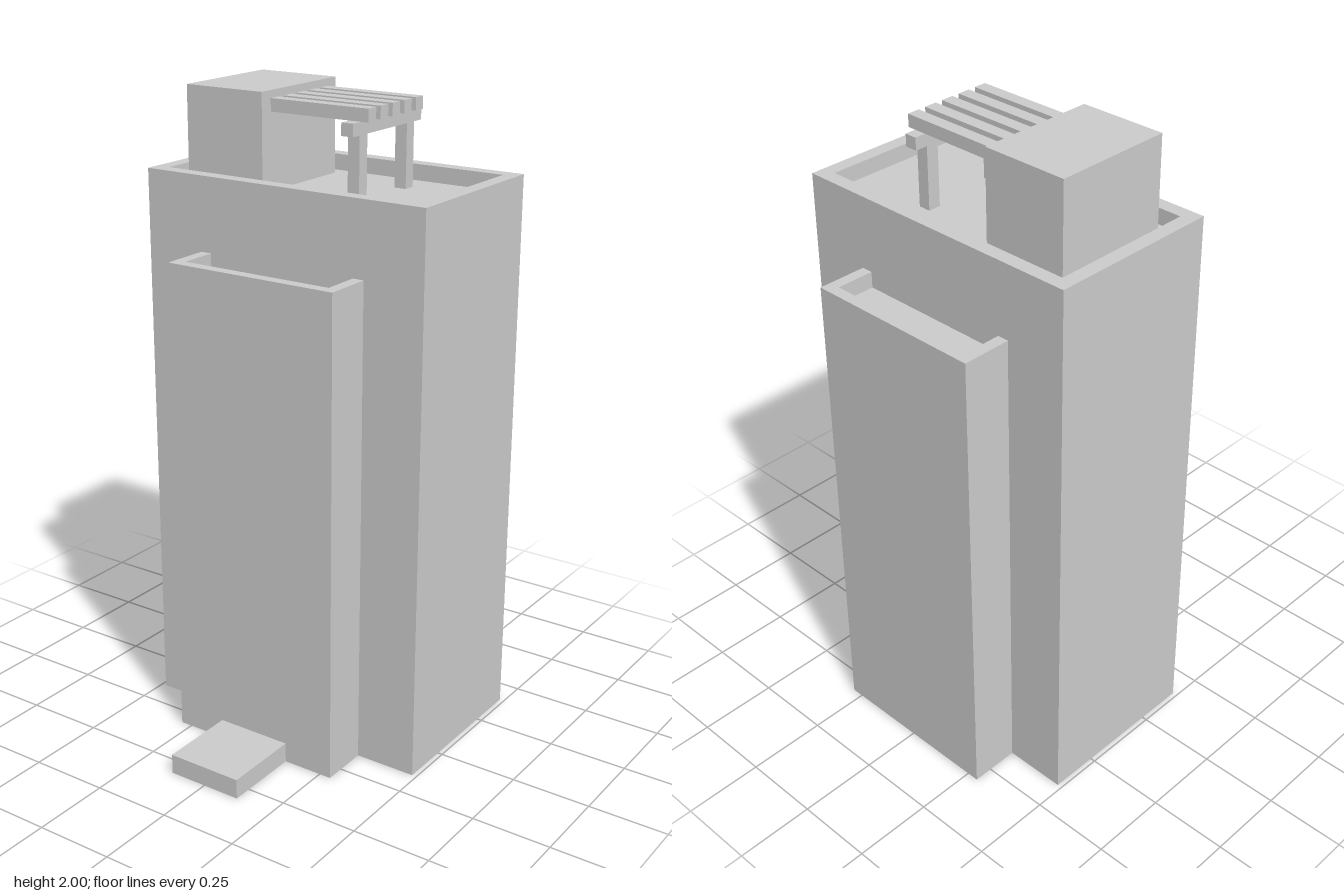
import * as THREE from 'three';

const material = new THREE.MeshStandardMaterial({ color: 0xcccccc, flatShading: true, side: THREE.DoubleSide });

// Lofts rectangular rings [x0, x1, z0, z1, y] and caps the last one; the start stays open
function shell(name, rings) {
  const pos = [];
  const corners = ([x0, x1, z0, z1, y]) => [[x0, y, z1], [x1, y, z1], [x1, y, z0], [x0, y, z0]];
  const quad = (a, b, c, d) => pos.push(...a, ...b, ...c, ...a, ...c, ...d);
  for (let r = 0; r < rings.length - 1; r++) {
    const lo = corners(rings[r]);
    const hi = corners(rings[r + 1]);
    for (let i = 0; i < 4; i++) {
      const j = (i + 1) % 4;
      quad(lo[i], lo[j], hi[j], hi[i]);
    }
  }
  quad(...corners(rings[rings.length - 1]));
  const geometry = new THREE.BufferGeometry();
  geometry.setAttribute('position', new THREE.Float32BufferAttribute(pos, 3));
  geometry.computeVertexNormals();
  const mesh = new THREE.Mesh(geometry, material);
  mesh.name = name;
  return mesh;
}

// Block with a parapet of thickness t around a sunken flat roof
function parapetBlock(name, x, z0, z1, top, t, depth) {
  const outer = [-x, x, z0, z1];
  const inner = [-x + t, x - t, z0 + t, z1 - t];
  return shell(name, [[...outer, 0], [...outer, top], [...inner, top], [...inner, top - depth]]);
}

// Solid box given by its limits
function box(name, x0, x1, y0, y1, z0, z1) {
  const mesh = new THREE.Mesh(new THREE.BoxGeometry(x1 - x0, y1 - y0, z1 - z0), material);
  mesh.position.set((x0 + x1) / 2, (y0 + y1) / 2, (z0 + z1) / 2);
  mesh.name = name;
  return mesh;
}

export function createModel() {
  const model = new THREE.Group();
  model.name = 'towerBlock';
  const roof = 1.705;

  // Main tower, and the lower block running through it that forms both bays
  model.add(parapetBlock('mainTower', 0.485, -0.403, 0.154, 1.755, 0.045, 0.05));
  model.add(parapetBlock('frontAndBackBays', 0.288, -0.56, 0.31, 1.525, 0.036, 0.05));

  // Entrance slab, open underneath
  const slab = [-0.123, 0.123, -0.01, 0.56];
  model.add(shell('entranceSlab', [[...slab, 0], [...slab, 0.063]]));

  // Stair house on the roof
  model.add(box('roofHouse', -0.4, -0.125, roof, 2, -0.314, 0.065));

  // Pergola: two posts, a cross beam and five slats
  const pergola = new THREE.Group();
  pergola.name = 'pergola';
  for (const z of [0.005, -0.248]) {
    pergola.add(box('pergolaPost', 0.147, 0.186, roof, 1.9, z - 0.02, z + 0.02));
  }
  pergola.add(box('pergolaBeam', 0.147, 0.186, 1.9, 1.938, -0.308, 0.06));
  for (let i = 0; i < 5; i++) {
    const z = 0.001 - i * 0.0635;
    pergola.add(box('pergolaSlat', -0.13, 0.212, 1.938, 1.977, z - 0.02, z + 0.02));
  }
  model.add(pergola);
  return model;
}
